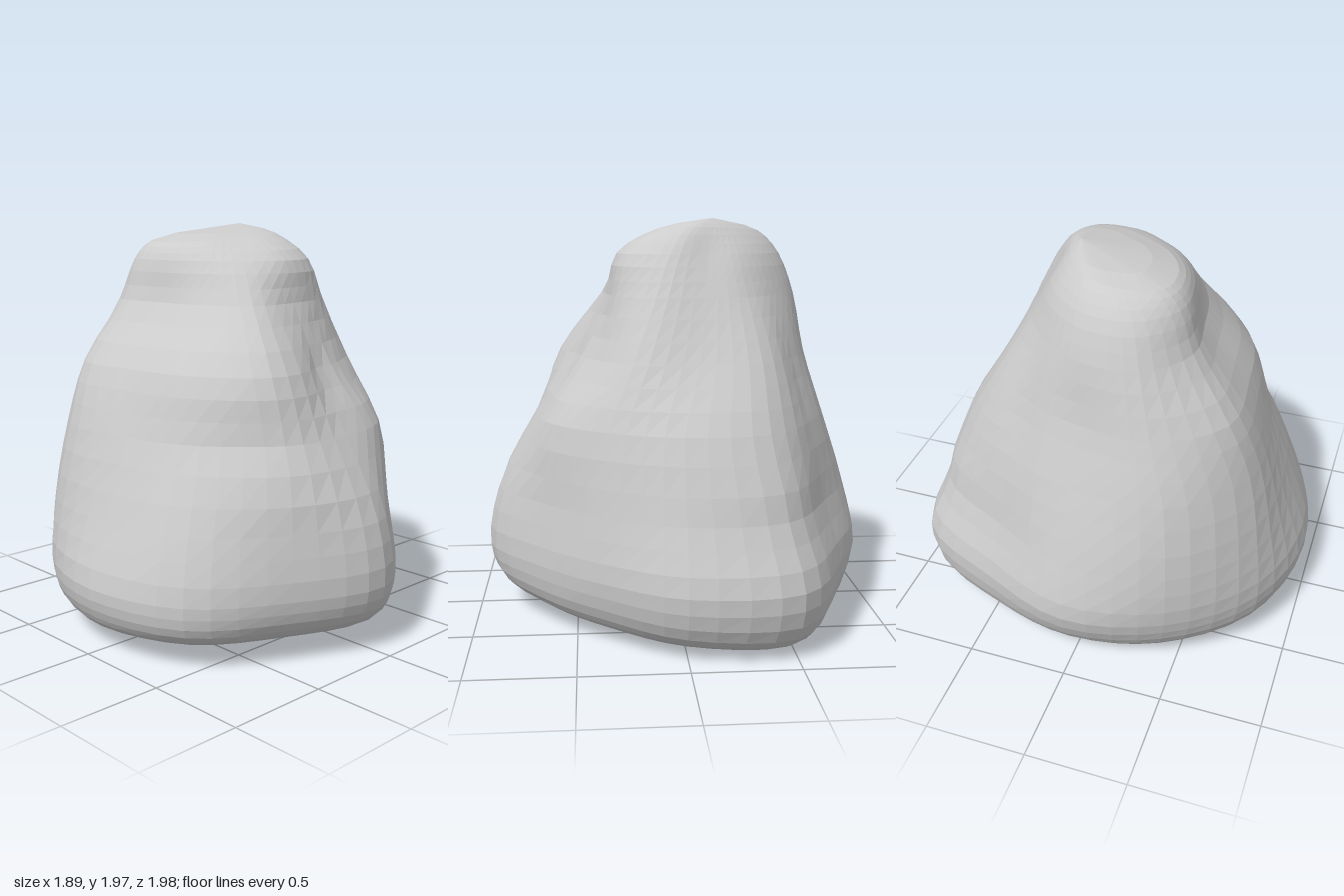
import * as THREE from 'three';

const AROUND = 48;
const UP = 30;

// Cross-sections from the base upward: height, centre x, centre z and
// twelve radii, every 30 degrees from +x round through +z.
const SECTIONS = [
  { y: 0.03, cx: 0, cz: 0, r: [0.74, 0.74, 0.85, 0.90, 0.86, 0.80, 0.75, 0.75, 0.86, 0.74, 0.64, 0.64] },
  { y: 0.11, cx: 0, cz: 0, r: [0.88, 0.86, 0.97, 0.98, 0.96, 0.89, 0.86, 0.86, 1.00, 0.88, 0.74, 0.75] },
  { y: 0.32, cx: 0, cz: 0, r: [0.94, 0.91, 1.00, 1.01, 1.00, 0.96, 0.95, 0.91, 1.05, 0.94, 0.79, 0.79] },
  { y: 0.62, cx: 0, cz: 0, r: [0.89, 0.87, 0.92, 0.91, 0.97, 0.96, 0.89, 0.82, 0.92, 0.85, 0.75, 0.75] },
  { y: 1.00, cx: 0, cz: 0, r: [0.69, 0.75, 0.76, 0.77, 0.89, 0.89, 0.77, 0.75, 0.79, 0.73, 0.68, 0.69] },
  { y: 1.30, cx: -0.08, cz: 0, r: [0.61, 0.73, 0.69, 0.66, 0.76, 0.71, 0.59, 0.58, 0.60, 0.56, 0.60, 0.56] },
  { y: 1.60, cx: -0.13, cz: 0, r: [0.47, 0.53, 0.46, 0.44, 0.53, 0.55, 0.48, 0.42, 0.40, 0.40, 0.48, 0.49] },
  { y: 1.80, cx: -0.15, cz: 0, r: [0.43, 0.39, 0.37, 0.39, 0.45, 0.44, 0.38, 0.32, 0.29, 0.28, 0.37, 0.44] },
  { y: 1.91, cx: -0.17, cz: -0.02, r: [0.26, 0.25, 0.29, 0.34, 0.38, 0.31, 0.25, 0.19, 0.17, 0.18, 0.23, 0.27] },
];

// Smooth closed outline of one cross-section
function outline({ y, cx, cz, r }) {
  const points = r.map((radius, i) => {
    const a = (i / r.length) * Math.PI * 2;
    const z = cz + Math.sin(a) * radius;
    let h = y;
    if (y < 0.2) h += 0.08 * Math.max(0, Math.cos(a - 0.9)) - 0.02 * Math.cos(2 * a - 1.6); // arched underside
    if (y > 1.85) h -= 0.08 * z; // crown tilts down to the front
    return new THREE.Vector3(cx + Math.cos(a) * radius, h, z);
  });
  return new THREE.CatmullRomCurve3(points, true);
}

// Soft hollows (negative) and lobes (positive): angle, height, spans, depth
const RELIEF = [
  { a: -0.05, y: 1.28, wa: 0.22, wy: 0.16, d: -0.09 },
  { a: -0.45, y: 1.48, wa: 0.25, wy: 0.15, d: -0.05 },
  { a: 0.8, y: 1.02, wa: 0.4, wy: 0.1, d: -0.03 },
  { a: 0.45, y: 0.82, wa: 0.35, wy: 0.15, d: 0.03 },
  { a: -2.65, y: 1.2, wa: 0.2, wy: 0.3, d: -0.04 },
  { a: -2.1, y: 0.75, wa: 0.4, wy: 0.12, d: 0.02 },
];

function sculpt(p) {
  const a = Math.atan2(p.z, p.x);
  let k = 1;
  for (const s of RELIEF) {
    const da = Math.atan2(Math.sin(a - s.a), Math.cos(a - s.a)) / s.wa;
    const dy = (p.y - s.y) / s.wy;
    k += s.d * Math.exp(-da * da - dy * dy);
  }
  p.x *= k;
  p.z *= k;
  return p;
}

function boulderGeometry() {
  const outlines = SECTIONS.map(outline);
  const positions = [];
  const index = [];
  for (let i = 0; i < AROUND; i++) {
    // One rib from the underside's centre to the crown
    const rib = new THREE.CatmullRomCurve3([
      new THREE.Vector3(0, 0.04, 0),
      ...outlines.map((c) => c.getPoint(i / AROUND)),
      new THREE.Vector3(-0.18, 1.97, -0.14),
    ]);
    for (let j = 0; j <= UP; j++) {
      positions.push(...sculpt(rib.getPoint(j / UP)).toArray());
      if (j === UP) continue;
      const a = i * (UP + 1) + j;
      const b = ((i + 1) % AROUND) * (UP + 1) + j;
      if (j > 0) index.push(a, a + 1, b);
      index.push(b, a + 1, b + 1);
    }
  }
  const geometry = new THREE.BufferGeometry();
  geometry.setAttribute('position', new THREE.Float32BufferAttribute(positions, 3));
  geometry.setIndex(index);
  geometry.computeVertexNormals();
  return geometry;
}

export function createModel() {
  const group = new THREE.Group();
  group.name = 'rock';
  const boulder = new THREE.Mesh(
    boulderGeometry(),
    new THREE.MeshStandardMaterial({ color: 0xcccccc, flatShading: true })
  );
  boulder.name = 'boulder';
  // Rest on the ground, centred
  const box = new THREE.Box3().setFromObject(boulder);
  const c = box.getCenter(new THREE.Vector3());
  boulder.position.set(-c.x, -box.min.y, -c.z);
  group.add(boulder);
  return group;
}
